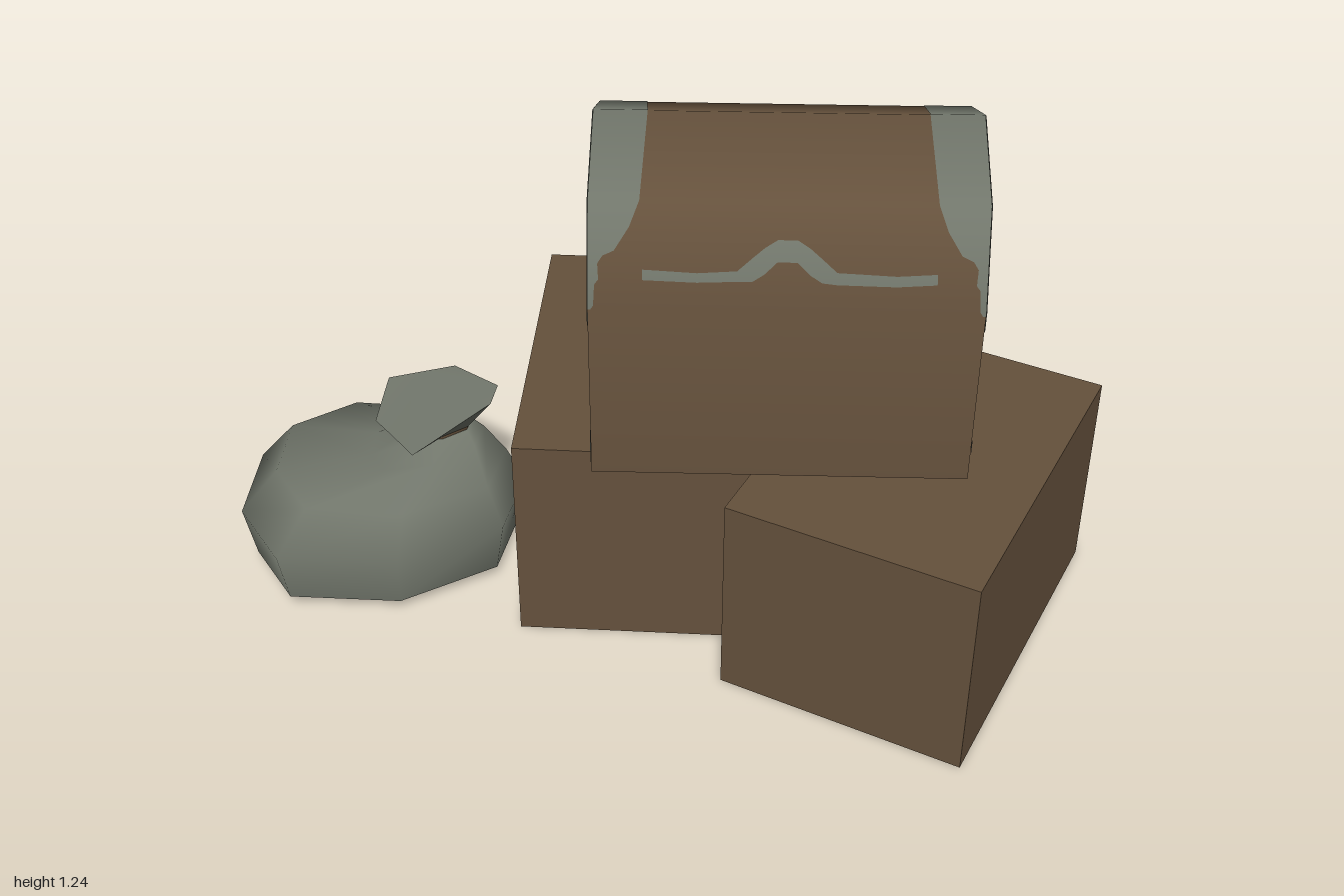
import * as THREE from 'three';

// Everything is an open-bottomed shell, so both sides show
const wood = new THREE.MeshStandardMaterial({ color: 0x65513c, side: THREE.DoubleSide });
wood.name = 'brown wood';
const grey = new THREE.MeshStandardMaterial({ color: 0x71766b, side: THREE.DoubleSide });
grey.name = 'grey cloth and metal';

function part(name, geometry, material) {
  const mesh = new THREE.Mesh(geometry, material);
  mesh.name = name;
  return mesh;
}

function geometryFrom(positions, index, normals) {
  const g = new THREE.BufferGeometry();
  g.setAttribute('position', new THREE.Float32BufferAttribute(positions, 3));
  g.setIndex(index);
  if (normals) g.setAttribute('normal', new THREE.Float32BufferAttribute(normals, 3));
  else g.computeVertexNormals();
  return g;
}

// Chest cross-section: height, half depth, and angle of the smooth normal
const PROFILE = [[0.525, 0.2875, 0], [0.95, 0.2875, 0.18], [1.15, 0.21, 0.76], [1.24, 0, Math.PI / 2]];
const HALF = 0.4;
const LIFT = 0.0015;

function onProfile(y) {
  let i = 0;
  while (i < 2 && y > PROFILE[i + 1][0]) i++;
  const [a, b] = [PROFILE[i], PROFILE[i + 1]];
  const t = (y - a[0]) / (b[0] - a[0]);
  return [THREE.MathUtils.lerp(a[1], b[1], t), THREE.MathUtils.lerp(a[2], b[2], t)];
}

// Strip wrapped on the front half of the chest; each row is a pair of [x, y]
function wrap(rows, lift = 0) {
  const pos = [], nor = [], index = [];
  rows.forEach((row, i) => {
    for (const [x, y] of row) {
      const [z, angle] = onProfile(y);
      const ny = Math.sin(angle), nz = Math.cos(angle);
      pos.push(x, y + ny * lift, z + nz * lift);
      nor.push(0, ny, nz);
    }
    if (i) {
      const k = i * 2 - 2;
      index.push(k, k + 1, k + 3, k, k + 3, k + 2);
    }
  });
  return geometryFrom(pos, index, nor);
}

// Flat outline placed on the end of the chest
function endPlate(points, x) {
  const shape = new THREE.Shape(points.map(p => new THREE.Vector2(...p)));
  return new THREE.ShapeGeometry(shape).rotateY(Math.PI / 2).translate(x, 0, 0);
}

function chestHalf() {
  const half = new THREE.Group();
  half.name = 'chestHalf';
  half.add(part('chestShell', wrap(PROFILE.map(([y]) => [[-HALF, y], [HALF, y]])), wood));
  const outline = [...PROFILE.map(([y, d]) => [d, y]), ...PROFILE.slice(0, 3).reverse().map(([y, d]) => [-d, y])];
  half.add(part('chestEnd', endPlate(outline, HALF), wood));

  // Metal bands over the lid ends
  const band = [[0.94, 0.394], [0.95, 0.388], [0.99, 0.386], [1.0, 0.378], [1.03, 0.38], [1.045, 0.37],
    [1.055, 0.347], [1.1, 0.317], [1.15, 0.297], [1.24, 0.288]];
  half.add(part('lidBandRight', wrap(band.map(([y, x]) => [[-HALF, y], [-x, y]]), LIFT), grey));
  half.add(part('lidBandLeft', wrap(band.map(([y, x]) => [[x, y], [HALF, y]]), LIFT), grey));

  // Lid seam with a raised middle
  const seam = [[-0.29, 1.0, 1.02], [-0.18, 0.997, 1.015], [-0.1, 1.0, 1.02], [-0.07, 1.0, 1.045],
    [-0.045, 1.015, 1.065], [-0.02, 1.038, 1.08], [0.02, 1.038, 1.08], [0.045, 1.015, 1.065],
    [0.07, 1.0, 1.045], [0.1, 0.997, 1.02], [0.22, 0.995, 1.015], [0.3, 1.0, 1.02]];
  half.add(part('lidSeam', wrap(seam.map(([x, lo, hi]) => [[x, hi], [x, lo]]), LIFT), grey));

  // Metal arch and corner pieces on the end
  const arch = [[-0.2875, 0.9], [-0.25, 0.9], [-0.23, 0.92], [-0.235, 0.96], [-0.265, 0.975], [-0.25, 0.99],
    [-0.215, 1.0], [-0.19, 1.05], [-0.15, 1.1], [-0.1, 1.12], [-0.04, 1.15], [0, 1.155], [0.07, 1.145],
    [0.12, 1.11], [0.2, 1.06], [0.215, 1.03], [0.205, 0.99], [0.24, 0.985], [0.23, 0.955], [0.27, 0.94],
    [0.265, 0.9], [0.2875, 0.89], [0.2875, 0.95], [0.21, 1.15], [0, 1.24], [-0.21, 1.15], [-0.2875, 0.95]];
  half.add(part('endArch', endPlate(arch, HALF + LIFT), grey));
  half.add(part('endCornerBack', endPlate([[0.23, 0.565], [0.2875, 0.545], [0.2875, 0.625], [0.235, 0.625]], HALF + LIFT), grey));
  half.add(part('endCornerFront', endPlate([[-0.2875, 0.595], [-0.25, 0.6], [-0.245, 0.612], [-0.26, 0.625], [-0.2875, 0.625]], HALF + LIFT), grey));
  return half;
}

function chest() {
  const group = new THREE.Group();
  group.name = 'chest';
  for (const turn of [0, Math.PI]) {
    const half = chestHalf();
    half.rotation.y = turn;
    group.add(half);
  }
  group.position.set(0.254, 0, -0.018);
  group.rotation.y = 0.028;
  return group;
}

// Smooth skin over a stack of eight-point rings
function loft(rings) {
  const index = [];
  for (let r = 0; r < rings.length - 1; r++) {
    for (let i = 0; i < 8; i++) {
      const a = r * 8 + i, b = r * 8 + (i + 1) % 8;
      index.push(b, a, a + 8, b, a + 8, b + 8);
    }
  }
  return geometryFrom(rings.flat(2), index);
}

function sack() {
  const group = new THREE.Group();
  group.name = 'sack';
  const outline = [[-0.155, -0.26], [0.145, -0.26], [0.33, -0.075], [0.3, 0.115], [0.075, 0.26],
    [-0.205, 0.26], [-0.325, 0.095], [-0.325, -0.125]];
  // centre x, y, z, scale, slope along x
  const rings = [
    [-0.675, 0.035, -0.065, 0.93, 0],
    [-0.675, 0.165, -0.065, 1, 0],
    [-0.65, 0.266, -0.07, 0.8, -0.03],
    [-0.565, 0.312, -0.085, 0.4, 0.18],
    [-0.535, 0.352, -0.095, 0.23, 0.1],
    [-0.535, 0.36, -0.095, 0.235, 0.1],
  ].map(([cx, cy, cz, s, kx]) => outline.map(([x, z]) => [cx + x * s, cy + x * s * kx, cz + z * s]));

  // Flared six-cornered mouth
  const mouth = [[-0.59, 0.41, -0.224], [-0.516, 0.42, -0.238], [-0.4, 0.432, -0.147], [-0.41, 0.42, -0.09],
    [-0.57, 0.384, 0.07], [-0.625, 0.38, 0], [-0.68, 0.376, -0.067], [-0.672, 0.398, -0.21]];

  group.add(part('sackBody', loft(rings.slice(0, 5)), grey));
  group.add(part('sackCord', loft(rings.slice(4)), wood));
  group.add(part('sackFlare', loft([rings[5], mouth]), grey));
  const cap = [];
  for (let i = 1; i < 7; i++) cap.push(0, i + 1, i);
  group.add(part('sackMouth', geometryFrom(mouth.flat(), cap), grey));
  return group;
}

// Box without its bottom face
function crate(name, w, h, d, x, z, turn) {
  const box = new THREE.BoxGeometry(w, h, d);
  const faces = Array.from(box.index.array);
  faces.splice(18, 6);
  box.setIndex(faces);
  box.clearGroups();
  const mesh = part(name, box, wood);
  mesh.position.set(x, h / 2, z);
  mesh.rotation.y = turn;
  return mesh;
}

export function createModel() {
  const model = new THREE.Group();
  model.name = 'chestOnCratesWithSack';
  model.add(crate('rightCrate', 0.528, 0.522, 0.797, -0.055, -0.19, -0.003));
  model.add(crate('leftCrate', 0.571, 0.5, 0.797, 0.573, 0.108, -0.422));
  model.add(chest(), sack());
  return model;
}
